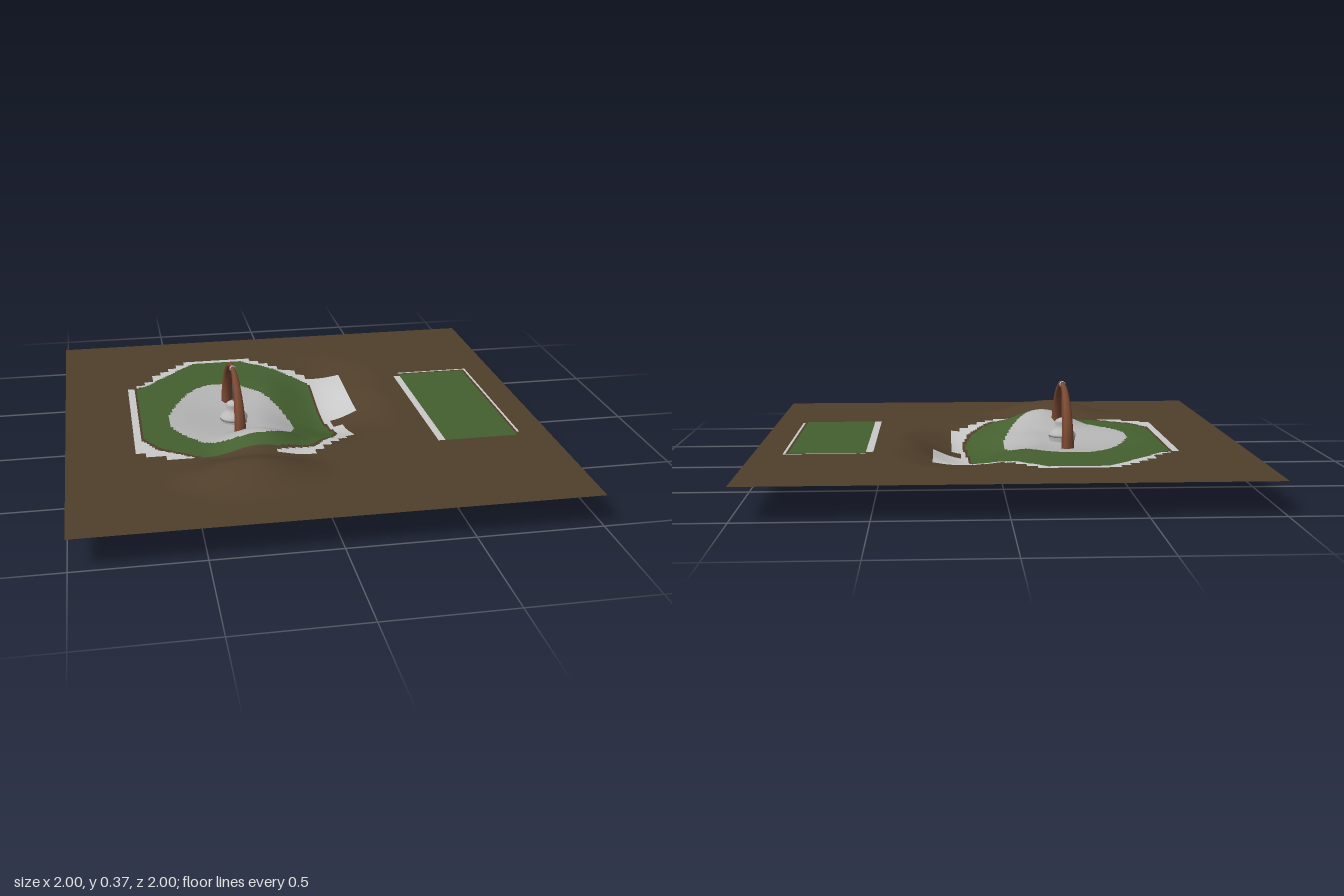
import * as THREE from 'three';

const mat = (name, color, side = THREE.FrontSide) => {
  const m = new THREE.MeshStandardMaterial({ color, side });
  m.name = name;
  return m;
};
const soil = mat('soil brown', 0x503f2b, THREE.DoubleSide);
const grass = mat('grass green', 0x456030, THREE.DoubleSide);
const gravel = mat('gravel grey', 0xb6b6b6, THREE.DoubleSide);
const paving = mat('paving light grey', 0xcacaca, THREE.DoubleSide);
const wood = mat('arch wood', 0x7d4a33);
const metal = mat('bell grey', 0xbababa);
const dark = mat('rod dark grey', 0x555555);

const vecs = (list) => list.map(([x, z]) => new THREE.Vector2(x, z));

// Plan outlines (x, z) of the coloured ground areas
const lawn = vecs([[-0.68, -0.38], [-0.4, -0.69], [-0.17, -0.69], [0.12, -0.44], [0.115, -0.1], [0.14, 0.1],
  [0.11, 0.2], [0, 0.35], [-0.15, 0.4], [-0.45, 0.4], [-0.62, 0.28], [-0.68, 0.17]]);
const pavedArea = vecs([[-0.72, -0.36], [-0.68, -0.42], [-0.44, -0.72], [-0.16, -0.72], [0.14, -0.48], [0.28, -0.48],
  [0.28, -0.08], [0.16, -0.08], [0.2, 0.08], [0.2, 0.2], [0, 0.44], [-0.16, 0.44], [-0.16, 0.4],
  [-0.46, 0.4], [-0.6, 0.38], [-0.72, 0.32]]);
const gravelBed = new THREE.SplineCurve(vecs([[-0.31, -0.4], [-0.22, -0.38], [-0.12, -0.28], [-0.05, -0.12],
  [-0.03, 0.05], [-0.07, 0.2], [-0.16, 0.31], [-0.28, 0.33], [-0.42, 0.27], [-0.53, 0.13], [-0.565, 0],
  [-0.53, -0.15], [-0.46, -0.3], [-0.38, -0.385], [-0.31, -0.4]])).getPoints(60);

function inside(poly, x, z) {
  let hit = false;
  for (let i = 0, j = poly.length - 1; i < poly.length; j = i++) {
    const a = poly[i], b = poly[j];
    if ((a.y > z) !== (b.y > z) && x < ((b.x - a.x) * (z - a.y)) / (b.y - a.y) + a.x) hit = !hit;
  }
  return hit;
}
const inBox = (x, z, x0, x1, z0, z1) => x > x0 && x < x1 && z > z0 && z < z1;
const snap = (v) => Math.floor(v / 0.04 + 1e-6) * 0.04 + 0.02;

// Material index of a ground cell: 0 soil, 1 grass, 2 gravel, 3 paving
function groundKind(x, z) {
  if (inside(gravelBed, x, z)) return 2;
  if (inside(lawn, x, z)) return 1;
  const rim = z > -0.42 && inside(lawn, -0.28 + (x + 0.28) / 1.035, -0.1 + (z + 0.1) / 1.035);
  if (rim) return 0;
  if (inside(pavedArea, snap(x), snap(z))) return 3;
  if (inBox(x, z, 0.55, 0.865, -0.385, 0.4)) return 1;
  if (inBox(x, z, 0.52, 0.55, -0.365, 0.4) || inBox(x, z, 0.55, 0.88, -0.4, -0.385)
    || inBox(x, z, 0.87, 0.88, -0.4, 0.37)) return 3;
  return 0;
}

// Mounds and hollows: x, z, radius x, radius z, height
const bumps = [
  [-0.28, 0.6, 0.36, 0.22, 0.065],
  [-0.22, 0.31, 0.24, 0.2, 0.065],
  [0.12, -0.03, 0.32, 0.42, -0.085],
  [0.16, -0.36, 0.3, 0.38, -0.045],
  [-0.25, -0.1, 0.38, 0.36, -0.025],
];
function groundHeight(x, z) {
  let y = 0.13;
  for (const [cx, cz, rx, rz, h] of bumps) {
    const d = Math.min(1, Math.hypot((x - cx) / rx, (z - cz) / rz));
    y += h * 0.5 * (1 + Math.cos(Math.PI * d));
  }
  return y;
}

// One smooth sheet whose cells are grouped by colour
function makeGround() {
  const n = 200;
  const geo = new THREE.PlaneGeometry(2, 2, n, n).rotateX(-Math.PI / 2);
  const pos = geo.attributes.position;
  for (let i = 0; i < pos.count; i++) pos.setY(i, groundHeight(pos.getX(i), pos.getZ(i)));
  const old = geo.index.array;
  const sorted = [[], [], [], []];
  for (let c = 0; c < n * n; c++) {
    const x = -1 + (2 * ((c % n) + 0.5)) / n;
    const z = -1 + (2 * (Math.floor(c / n) + 0.5)) / n;
    sorted[groundKind(x, z)].push(...old.slice(c * 6, c * 6 + 6));
  }
  let start = 0;
  sorted.forEach((list, k) => {
    geo.addGroup(start, list.length, k);
    start += list.length;
  });
  geo.setIndex(sorted.flat());
  geo.computeVertexNormals();
  return new THREE.Mesh(geo, [soil, grass, gravel, paving]);
}

// Arch: hexagonal tube, thick at the feet and thin at the crown
function makeArch() {
  const pts = [new THREE.Vector3(0, 0.09, 0.235)];
  for (let i = 0; i <= 16; i++) {
    const a = (i / 16) * Math.PI;
    pts.push(new THREE.Vector3(0, 0.13 + 0.225 * Math.sin(a), 0.232 * Math.cos(a)));
  }
  pts.push(new THREE.Vector3(0, 0.09, -0.235));
  const path = new THREE.CatmullRomCurve3(pts);
  const rings = 48, sides = 6;
  const geo = new THREE.TubeGeometry(path, rings, 1, sides);
  const pos = geo.attributes.position;
  const v = new THREE.Vector3();
  for (let i = 0; i <= rings; i++) {
    const p = path.getPointAt(i / rings);
    const r = i === 0 || i === rings ? 0 : 0.01 + 0.018 * Math.abs((2 * i) / rings - 1);
    for (let j = 0; j <= sides; j++) {
      const k = i * (sides + 1) + j;
      v.fromBufferAttribute(pos, k).sub(p).multiplyScalar(r).add(p);
      pos.setXYZ(k, v.x, v.y, v.z);
    }
  }
  return new THREE.Mesh(geo, wood);
}

export function createModel() {
  const model = new THREE.Group();
  const add = (parent, name, mesh, y = 0) => {
    mesh.name = name;
    mesh.position.y = y;
    parent.add(mesh);
  };
  add(model, 'ground', makeGround());

  const feature = new THREE.Group();
  feature.name = 'archAndBell';
  feature.position.x = -0.283;
  model.add(feature);

  add(feature, 'arch', makeArch());
  // Pedestal passing through the ground
  add(feature, 'pedestal', new THREE.Mesh(new THREE.CylinderGeometry(0.062, 0.062, 0.125, 6), metal), 0.0625);
  // Bell with flared rim and knob
  const profile = vecs([[0, 0.122], [0.06, 0.125], [0.06, 0.136], [0.048, 0.148], [0.033, 0.16],
    [0.027, 0.178], [0.034, 0.186], [0.028, 0.196], [0.012, 0.205], [0, 0.207]]);
  add(feature, 'bell', new THREE.Mesh(new THREE.LatheGeometry(profile, 16), metal));
  add(feature, 'rod', new THREE.Mesh(new THREE.CylinderGeometry(0.004, 0.004, 0.15, 6), dark), 0.28);
  add(feature, 'hanger', new THREE.Mesh(new THREE.SphereGeometry(0.014, 10, 8), metal), 0.352);
  return model;
}
